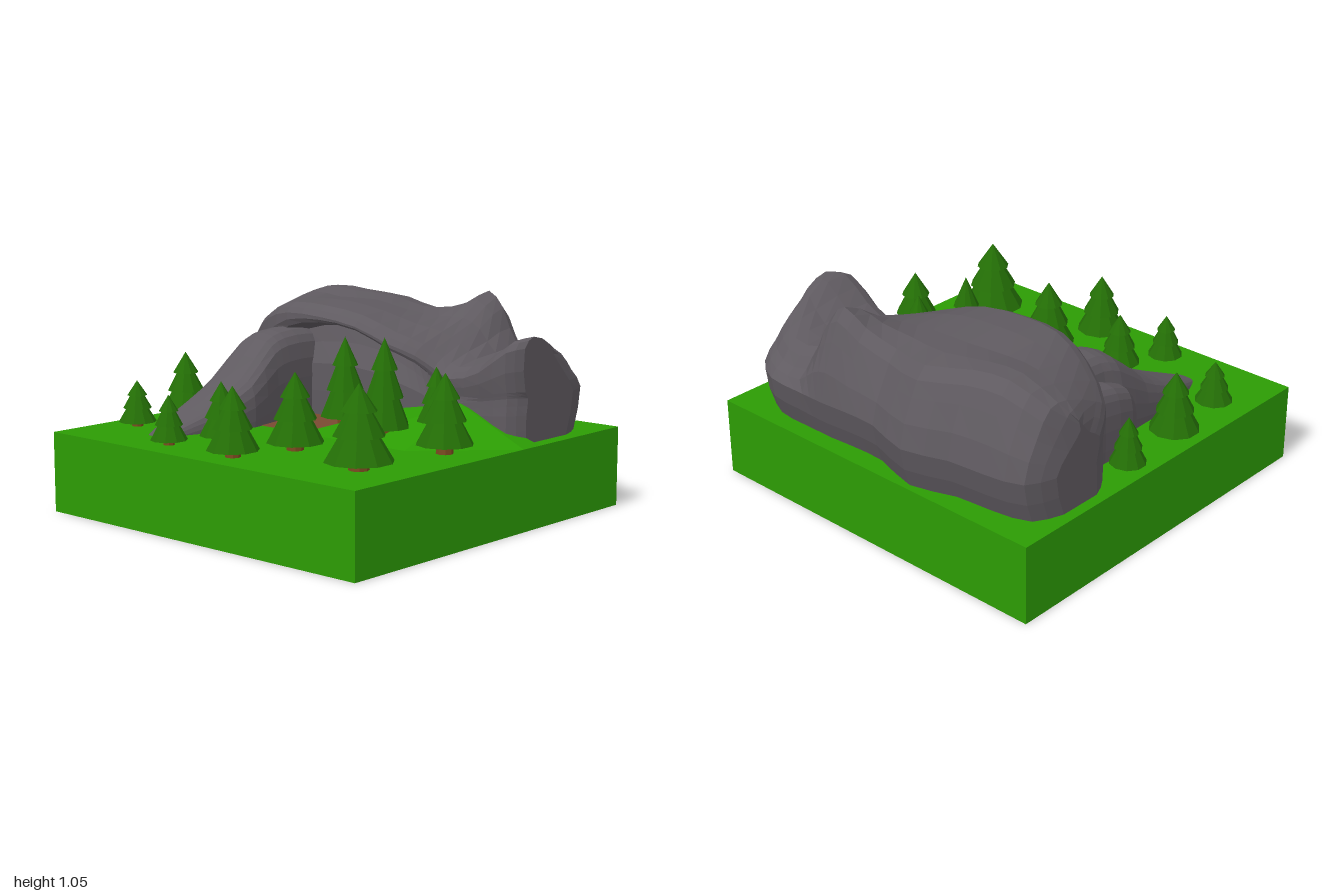
import * as THREE from 'three';

const mat = (color, side = THREE.FrontSide) =>
  new THREE.MeshStandardMaterial({ color, flatShading: true, side });
const GRASS = mat(0x2c9c04), LEAF = mat(0x246f06), BARK = mat(0x7a4a20);
const DIRT = mat(0x7a4a32, THREE.DoubleSide), ROCK = mat(0x5f5a60);

const add = (parent, name, geo, material) => {
  const m = new THREE.Mesh(geo, material);
  m.name = name;
  parent.add(m);
  return m;
};

// Resample a polyline of Vector3 with a soft curve, n steps per span
const smooth = (pts, n) => new THREE.CatmullRomCurve3(pts).getPoints((pts.length - 1) * n);

// Skin a row of cross-sections and close both ends
function loft(rings, n = 2) {
  const fine = rings.map(r => smooth(r, n));
  const columns = fine[0].map((_, j) => smooth(fine.map(r => r[j]), n));
  const m = columns.length, k = columns[0].length;
  const pos = [], idx = [];
  for (let i = 0; i < k; i++) for (let j = 0; j < m; j++) pos.push(...columns[j][i].toArray());
  for (let i = 0; i < k - 1; i++) for (let j = 0; j < m; j++) {
    const q = (j + 1) % m;
    const a = i * m + j, b = a + m, c = i * m + q, d = c + m;
    idx.push(a, b, c, b, d, c);
  }
  for (const i of [0, k - 1]) {
    const centre = new THREE.Vector3();
    columns.forEach(c => centre.addScaledVector(c[i], 1 / m));
    const ci = pos.length / 3;
    pos.push(...centre.toArray());
    for (let j = 0; j < m; j++) {
      const a = i * m + j, b = i * m + (j + 1) % m;
      idx.push(ci, ...(i === 0 ? [a, b] : [b, a]));
    }
  }
  const geo = new THREE.BufferGeometry();
  geo.setAttribute('position', new THREE.Float32BufferAttribute(pos, 3));
  geo.setIndex(idx);
  geo.computeVertexNormals();
  return geo;
}

// Grass block with a small hill rising to the foot of the cliff
function groundGeometry() {
  const geo = new THREE.BoxGeometry(1.98, 0.4, 1.98, 5, 1, 5);
  const p = geo.attributes.position;
  const near = (a, b) => Math.abs(a - b) < 0.02;
  for (let i = 0; i < p.count; i++) {
    if (p.getY(i) < 0) continue;
    const x = p.getX(i), z = p.getZ(i);
    if (near(z, -0.594)) p.setZ(i, -0.33);
    if (near(x, -0.198) && near(Math.abs(z), 0.198)) p.setX(i, -0.07);
    if (near(z, -0.198) && near(x, 0.198)) p.setXYZ(i, x, 0.3, -0.22);
    if (near(z, -0.198) && near(x, 0.594)) p.setXYZ(i, x, 0.37, -0.22);
  }
  geo.translate(0, 0.2, 0.01);
  geo.computeVertexNormals();
  return geo;
}

// Cliff stations: x, wall z, lip z, lip underside y, top y front / middle / back, back z
const CLIFF = [
  [-0.935, -0.44, -0.43, 0.60, 0.75, 0.84, 0.80, -0.72],
  [-0.87, -0.32, -0.31, 0.64, 0.83, 0.92, 0.92, -0.86],
  [-0.68, -0.24, -0.20, 0.74, 0.93, 0.99, 1.01, -0.91],
  [-0.48, -0.22, -0.13, 0.86, 0.98, 0.98, 1.00, -0.93],
  [-0.25, -0.23, -0.11, 0.90, 0.98, 0.98, 0.97, -1.00],
  [0.00, -0.23, -0.11, 0.88, 0.95, 0.95, 0.94, -0.93],
  [0.20, -0.23, -0.13, 0.80, 0.88, 0.93, 0.98, -0.93],
  [0.33, -0.23, -0.18, 0.74, 0.83, 0.93, 1.05, -0.94],
  [0.42, -0.23, -0.22, 0.67, 0.77, 0.88, 0.97, -0.94],
  [0.52, -0.22, -0.22, 0.60, 0.73, 0.77, 0.78, -0.94],
  [0.70, -0.22, -0.21, 0.62, 0.78, 0.77, 0.76, -0.93],
  [0.86, -0.22, -0.21, 0.65, 0.89, 0.85, 0.79, -0.83],
  [0.92, -0.30, -0.28, 0.65, 0.91, 0.86, 0.81, -0.68],
];

// Front wall, recess under the lip, crest, then the bulging back
const cliffRing = ([x, zw, zl, yl, yf, ym, yb, zb]) => [
  [zw, 0.38],
  [zw, 0.4 + (yl - 0.4) * 0.55],
  [zw + (zw - zl) * 0.6, yl - 0.03],
  [zl - 0.01, yl],
  [zl, yf - 0.05],
  [zl - 0.07, yf],
  [(zl + zb) / 2, ym],
  [zb + 0.17, yb],
  [zb + 0.08, 0.4 + (yb - 0.4) * 0.77],
  [zb, 0.61],
  [zb + 0.06, 0.38],
].map(([z, y]) => new THREE.Vector3(x, y, z));

// Arched ridge section: z, left x, right x, crest y
const ridgeRing = ([z, x0, x1, top]) => {
  const w = x1 - x0, h = top - 0.36;
  return [[0.02, 0], [0.01, 0.5], [0.09, 0.87], [0.27, 1], [0.73, 1], [0.93, 0.87], [1, 0.5], [0.98, 0]]
    .map(([u, v]) => new THREE.Vector3(x0 + u * w, 0.36 + v * h, z));
};
const SPUR = [
  [-0.40, -0.67, -0.40, 0.82], [-0.24, -0.67, -0.39, 0.84], [-0.05, -0.67, -0.38, 0.835],
  [0.05, -0.69, -0.37, 0.80], [0.25, -0.69, -0.335, 0.64], [0.42, -0.68, -0.37, 0.54],
  [0.60, -0.65, -0.43, 0.46], [0.745, -0.60, -0.48, 0.40],
];
const BUTTRESS = [
  [-0.40, -0.80, -0.58, 0.78], [-0.20, -0.79, -0.58, 0.76],
  [0.00, -0.79, -0.60, 0.70], [0.09, -0.74, -0.62, 0.60],
];

// Tree list: x, z, base y, top y, skirt radius
const TREES = [
  [-0.88, -0.15, 0.4, 0.66, 0.09], [-0.85, 0.24, 0.4, 0.73, 0.125],
  [-0.81, 0.61, 0.4, 0.63, 0.095], [-0.33, 0.84, 0.4, 0.64, 0.09],
  [-0.21, 0.61, 0.4, 0.69, 0.108], [0.01, -0.03, 0.42, 0.86, 0.125],
  [0.10, 0.84, 0.4, 0.73, 0.125], [0.20, 0.53, 0.4, 0.77, 0.138],
  [0.365, 0.085, 0.42, 0.90, 0.125], [0.59, -0.03, 0.48, 0.77, 0.095],
  [0.78, 0.14, 0.41, 0.78, 0.138], [0.72, 0.67, 0.4, 0.79, 0.162],
];

function tree([x, z, y0, y1, r]) {
  const g = new THREE.Group();
  g.name = 'tree';
  const h = y1 - y0;
  const trunk = add(g, 'trunk', new THREE.CylinderGeometry(r * 0.27, r * 0.3, h * 0.3, 8), BARK);
  trunk.position.y = h * 0.13;
  // Three overlapping tiers: radius bottom, radius top, start, end
  [[1, 0.42, 0.1, 0.5], [0.75, 0.25, 0.4, 0.76], [0.52, 0, 0.68, 1]].forEach(([rb, rt, a, b]) => {
    const tier = add(g, 'foliage', new THREE.CylinderGeometry(rt * r, rb * r, (b - a) * h, 10), LEAF);
    tier.position.y = (a + b) / 2 * h;
  });
  g.position.set(x, y0, z);
  return g;
}

export function createModel() {
  const model = new THREE.Group();
  model.name = 'forestCliff';
  add(model, 'ground', groundGeometry(), GRASS);

  // Bare earth at the cave mouth
  const floor = new THREE.PlaneGeometry(0.53, 0.45).rotateX(-Math.PI / 2);
  add(model, 'caveFloor', floor, DIRT).position.set(-0.325, 0.403, -0.02);

  add(model, 'cliff', loft(CLIFF.map(cliffRing)), ROCK);
  add(model, 'spur', loft(SPUR.map(ridgeRing)), ROCK);
  add(model, 'buttress', loft(BUTTRESS.map(ridgeRing)), ROCK);
  TREES.forEach(t => model.add(tree(t)));
  return model;
}
